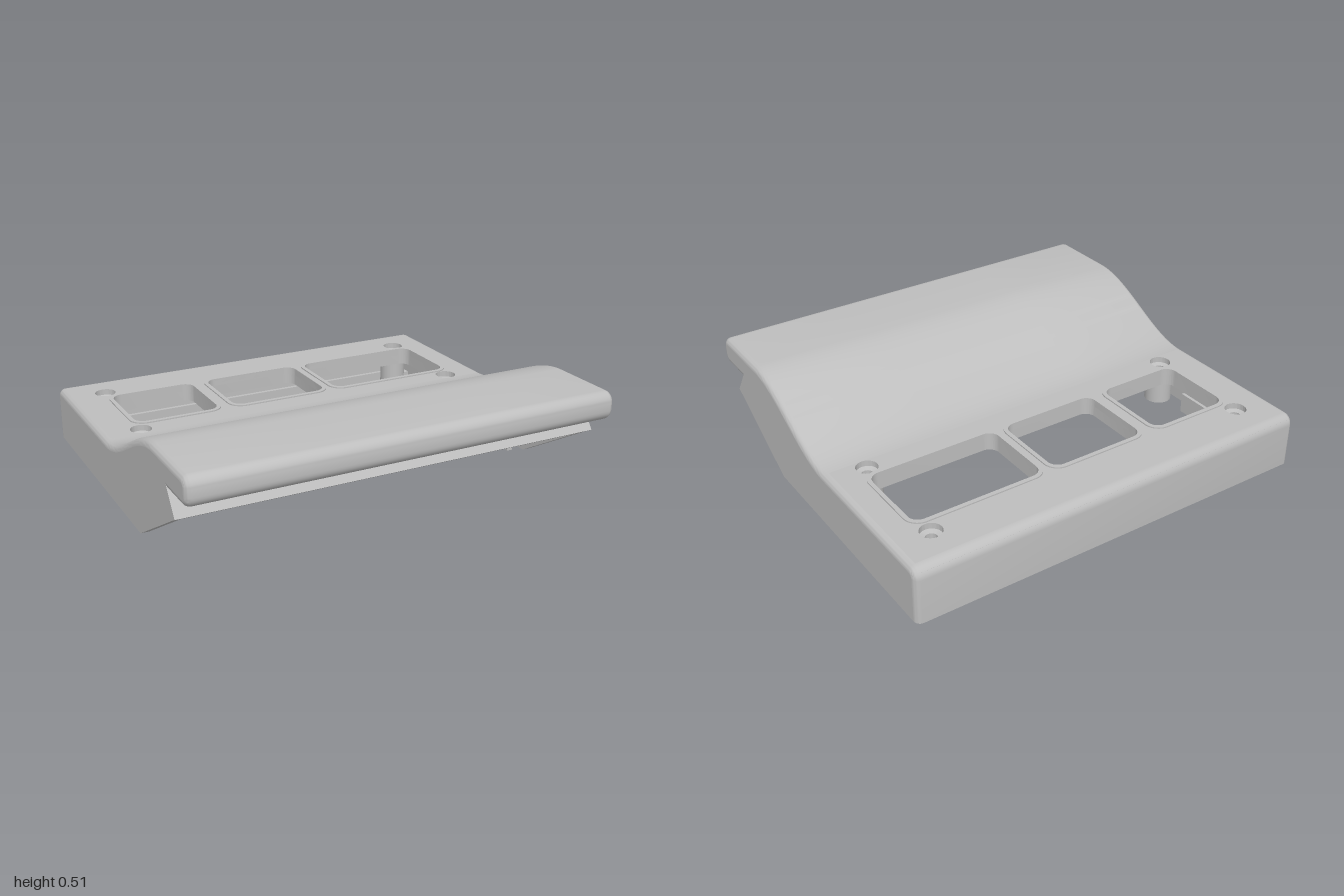
import * as THREE from 'three';
import { mergeGeometries, toCreasedNormals } from 'three/addons/utils/BufferGeometryUtils.js';

const R = 0.03; // rounding along the side edges

// Outer side profile as [z, y, inset z, inset y], from back bottom over the top to the front slant
function arc(cz, cy, r, a0, a1, n = 8) {
  return Array.from({ length: n + 1 }, (_, i) => {
    const a = a0 + (a1 - a0) * i / n, c = Math.cos(a), s = Math.sin(a);
    return [cz + r * c, cy + r * s, -c, -s];
  });
}
function swell(n = 28) {
  const c = new THREE.CubicBezierCurve(new THREE.Vector2(-0.12, 0.29), new THREE.Vector2(0.1, 0.29),
    new THREE.Vector2(0.3, 0.51), new THREE.Vector2(0.53, 0.51));
  return Array.from({ length: n + 1 }, (_, i) => {
    const p = c.getPoint(i / n), t = c.getTangent(i / n);
    return [p.x, p.y, t.y, -t.x];
  });
}

// Grid surface through rows of points
function loft(rows) {
  const n = rows[0].length, index = [];
  for (let i = 0; i < rows.length - 1; i++) for (let j = 0; j < n - 1; j++) {
    const a = i * n + j, b = a + 1, c = a + n, d = c + 1;
    index.push(a, b, c, b, d, c);
  }
  const g = new THREE.BufferGeometry();
  g.setAttribute('position', new THREE.Float32BufferAttribute(rows.flat(2), 3));
  g.setIndex(index);
  return g;
}
const row = (profile, x, inset = 0) =>
  profile.map(([z, y, iz = 0, iy = 0]) => [x, y + iy * inset, z + iz * inset]);
const band = (profile, x0, x1) => loft([row(profile, x0), row(profile, x1)]);

const poly = pts => new THREE.Shape(pts.map(p => new THREE.Vector2(p[0], p[1])));
const rect = (x0, x1, z0, z1) => poly([[x0, z0], [x1, z0], [x1, z1], [x0, z1]]);
function roundRect(x0, x1, z0, z1, r) {
  const s = new THREE.Shape();
  s.absarc(x1 - r, z1 - r, r, 0, Math.PI / 2);
  s.absarc(x0 + r, z1 - r, r, Math.PI / 2, Math.PI);
  s.absarc(x0 + r, z0 + r, r, Math.PI, Math.PI * 1.5);
  s.absarc(x1 - r, z0 + r, r, Math.PI * 1.5, Math.PI * 2);
  s.closePath();
  return s;
}
const circle = (x, z, r) => new THREE.Shape().absarc(x, z, r, 0, Math.PI * 2);
// Plan shape (x, z) pushed downwards from a height
const pushDown = (shape, top, depth) =>
  new THREE.ExtrudeGeometry(shape, { depth, bevelEnabled: false, curveSegments: 10 })
    .rotateX(Math.PI / 2).translate(0, top, 0);
// Side shape (z, y) as a sheet at x
const sideSheet = (pts, x) => new THREE.ShapeGeometry(poly(pts)).rotateY(-Math.PI / 2).translate(x, 0, 0);

export function createModel() {
  const model = new THREE.Group();
  const grey = new THREE.MeshStandardMaterial({ color: 0xbebebe, side: THREE.DoubleSide });
  grey.name = 'grey plastic';
  const add = (name, geometry, parent = model) => {
    const m = new THREE.Mesh(geometry, grey);
    m.name = name;
    parent.add(m);
    return m;
  };

  const back = [[-0.89, 0.03, 1, 0], ...arc(-0.84, 0.24, 0.05, Math.PI, Math.PI / 2)];
  const rest = [...swell(), ...arc(0.84, 0.46, 0.05, Math.PI / 2, 0), ...arc(0.84, 0.427, 0.05, 0, -Math.PI / 2)];
  const slant = [[0.69, 0.377, -0.7, 1], [0.755, 0.285], [0.71, 0.26]];
  const notch = [[0.6, 0.377], [0.6, 0.356], [0.705, 0.356], [0.755, 0.285], [0.71, 0.26]];
  const full = [...back, ...rest, ...slant];

  // Outer skin with rounded side edges
  const W = 1 - R, N = 7;
  const edge = Array.from({ length: N + 1 }, (_, i) => {
    const a = i / N * Math.PI / 2;
    return [W + R * Math.sin(a), R * (1 - Math.cos(a))];
  });
  const skin = mergeGeometries([
    loft(edge.map(([x, d]) => row(full, x, d))),
    loft([...edge].reverse().map(([x, d]) => row(full, -x, d))),
    band(back, -W, W),
    band([...rest, ...slant], -W, -0.4),
    band([...rest, ...notch], -0.4, 0.4),
    band([...rest, ...slant], 0.4, W),
  ]);
  add('outerSkin', toCreasedNormals(skin, 0.6));

  // Side panels, inner walls and locating tabs
  const outline = full.map(([z, y, iz = 0, iy = 0]) => [z + iz * R, y + iy * R]);
  outline.push([0.32, 0.03]);
  for (const s of [1, -1]) {
    const side = new THREE.Group();
    side.name = s > 0 ? 'leftSide' : 'rightSide';
    model.add(side);
    add('sidePanel', sideSheet(outline, s), side);
    const wall = new THREE.ExtrudeGeometry(poly([[-0.86, 0.03], [0.32, 0.03], [0.71, 0.26], [-0.86, 0.26]]),
      { depth: 0.039, bevelEnabled: false }).rotateY(-Math.PI / 2);
    add('innerWall', wall.translate(s > 0 ? 0.999 : -0.96, 0, 0), side);
    add('notchCheek', sideSheet([[0.6, 0.377], [0.6, 0.356], [0.705, 0.356], [0.69, 0.377]], s * 0.4), side);
    for (const [z0, z1] of [[-0.1, 0.24], [-0.63, -0.23], [-0.85, -0.76]]) {
      add('sideTab', new THREE.BoxGeometry(0.03, 0.1, z1 - z0)
        .translate(s * 0.94, 0.05, (z0 + z1) / 2), side);
    }
  }
  add('backWall', new THREE.BoxGeometry(1.94, 0.24, 0.04).translate(0, 0.15, -0.86));
  add('backTab', new THREE.BoxGeometry(1.9, 0.1, 0.03).translate(0, 0.05, -0.835));

  // Flat deck with three windows and four screw holes
  const windows = [[-0.81, -0.4], [-0.32, 0.16], [0.22, 0.85]];
  const screws = [[-0.815, -0.7], [0.815, -0.7], [-0.815, -0.17], [0.815, -0.17]];
  const deck = rect(-W, W, -0.84, -0.12);
  for (const [a, b] of windows) deck.holes.push(roundRect(a, b, -0.625, -0.24, 0.05));
  for (const [x, z] of screws) deck.holes.push(circle(x, z, 0.05));
  add('deck', pushDown(deck, 0.29, 0.03));

  for (const [a, b] of windows) {
    const rim = roundRect(a - 0.02, b + 0.02, -0.645, -0.22, 0.07);
    rim.holes.push(roundRect(a, b, -0.625, -0.24, 0.05));
    add('windowRim', toCreasedNormals(pushDown(rim, 0.296, 0.086), 0.6));
  }

  // Screw bosses with a counterbored hole
  const bossProfile = [[0.05, 0.29], [0.05, 0.262], [0.027, 0.255], [0.027, 0.095], [0.065, 0.095], [0.065, 0.262]]
    .map(p => new THREE.Vector2(...p));
  const boss = toCreasedNormals(new THREE.LatheGeometry(bossProfile, 28), 0.6);
  for (const [x, z] of screws) add('screwBoss', boss).position.set(x, 0, z);

  // Underside of the raised rest, with a pocket and a cable hole
  const ceiling = rect(-W, W, -0.12, 0.71);
  ceiling.holes.push(rect(-0.33, 0.33, 0.18, 0.47));
  add('restUnderside', new THREE.ShapeGeometry(ceiling).rotateX(Math.PI / 2).translate(0, 0.26, 0));
  const pocket = [[0.18, 0.26], [0.18, 0.34], [0.47, 0.47]];
  add('pocketRoof', toCreasedNormals(band(pocket, -0.33, 0.33), 0.5));
  for (const s of [1, -1]) add('pocketSide', sideSheet([...pocket, [0.47, 0.26]], s * 0.33));
  const face = rect(-0.33, 0.33, 0.26, 0.47);
  face.holes.push(circle(0, 0.4, 0.045));
  add('pocketFront', new THREE.ShapeGeometry(face).translate(0, 0, 0.47));
  add('cableHole', new THREE.CylinderGeometry(0.045, 0.045, 0.1, 20, 1, true)
    .rotateX(Math.PI / 2).translate(0, 0.4, 0.52));
  add('cableHoleEnd', new THREE.CircleGeometry(0.045, 20).translate(0, 0.4, 0.57));

  return model;
}
